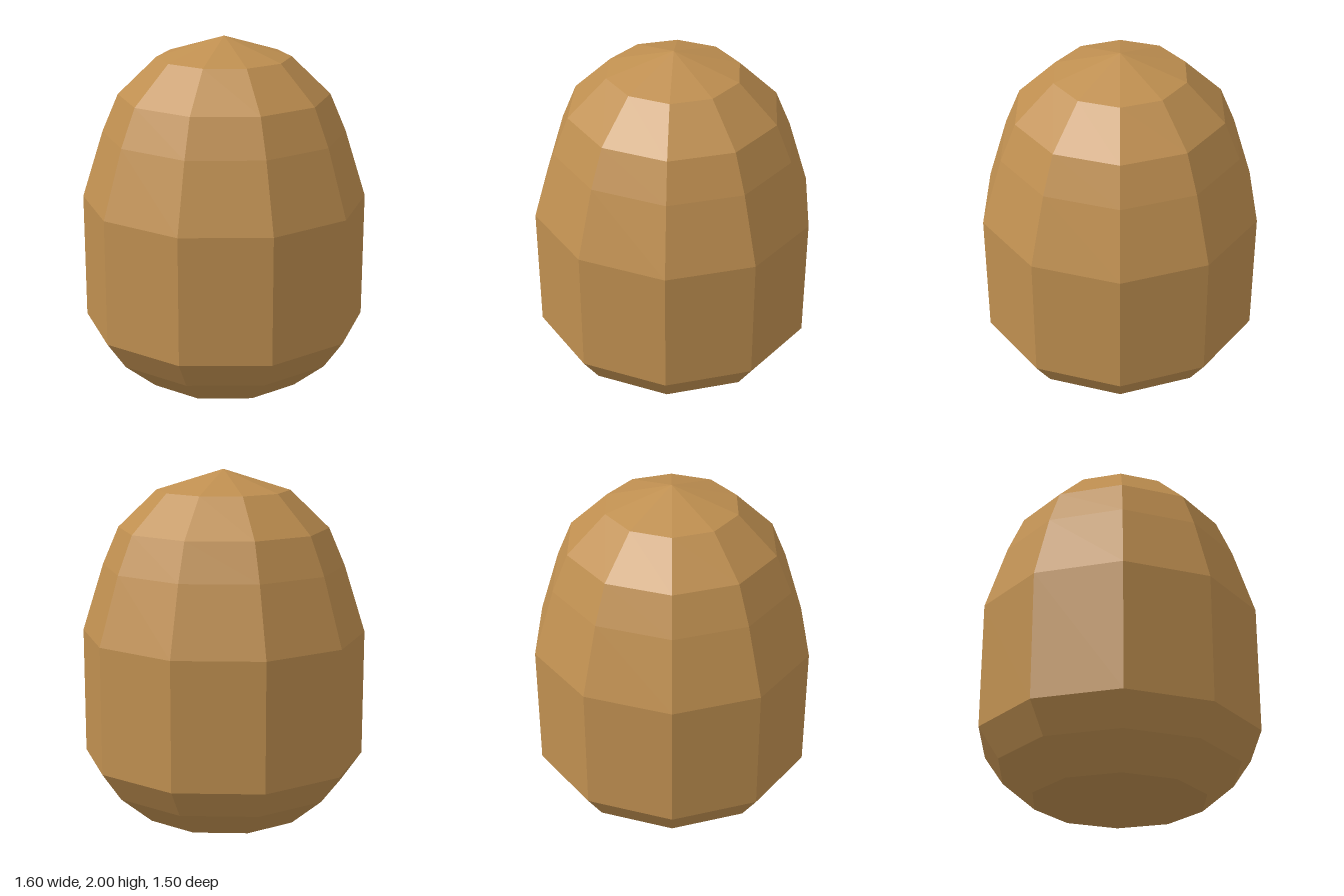
import * as THREE from 'three';

export function createModel() {
  const group = new THREE.Group();
  group.name = 'facetedEgg';

  const brown = new THREE.MeshStandardMaterial({ color: 0xbf8f50, flatShading: true });
  brown.name = 'warm brown';

  // Radius and height of each ring, from the shallow base point up to the tip
  const profile = [
    [0, 0], [0.49, 0.04], [0.685, 0.205], [0.8, 0.37], [0.8, 1.085],
    [0.68, 1.465], [0.59, 1.675], [0.372, 1.885], [0, 2],
  ].map(([r, y]) => new THREE.Vector2(r, y));

  // Ten-sided shell with corners on the x axis, slightly narrower in depth
  const geometry = new THREE.LatheGeometry(profile, 10, Math.PI / 2);
  geometry.scale(1, 1, 0.987);

  const shell = new THREE.Mesh(geometry, brown);
  shell.name = 'shell';
  group.add(shell);
  return group;
}
